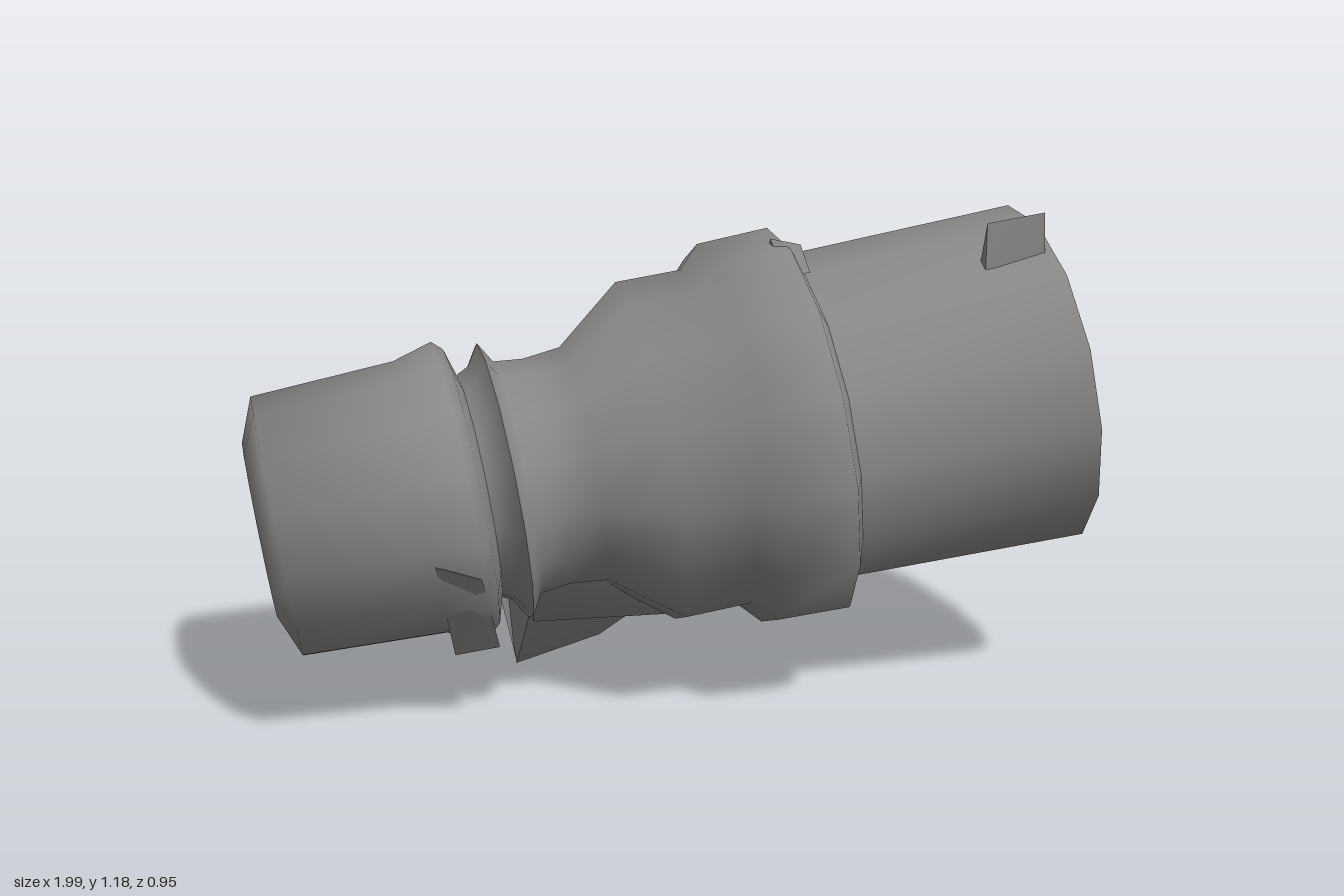
import * as THREE from 'three';
import { toCreasedNormals } from 'three/addons/utils/BufferGeometryUtils.js';
import { ConvexGeometry } from 'three/addons/geometries/ConvexGeometry.js';

const material = new THREE.MeshStandardMaterial({ color: 0x888888, side: THREE.DoubleSide });

function addMesh(parent, name, geometry) {
  const mesh = new THREE.Mesh(geometry, material);
  mesh.name = name;
  parent.add(mesh);
  return mesh;
}

// Turned part from [radius, position along the axis] pairs, softly shaded
function turned(points, sides = 14) {
  const profile = points.map(([r, t]) => new THREE.Vector2(r, t));
  return toCreasedNormals(new THREE.LatheGeometry(profile, sides), 1.25);
}

// Solid wedge around a few corner points
function wedge(points) {
  const geometry = new ConvexGeometry(points.map((p) => new THREE.Vector3(...p)));
  return toCreasedNormals(geometry, 0.9);
}

export function createModel() {
  const model = new THREE.Group();
  model.name = 'plugConnector';

  // Everything turned shares one slightly tilted axis
  const plug = new THREE.Group();
  plug.name = 'turnedParts';
  const axis = new THREE.Vector3(1, 0.148, 0.083).normalize();
  plug.quaternion.setFromUnitVectors(new THREE.Vector3(0, 1, 0), axis);
  plug.position.set(0, 0.604, -0.032);
  model.add(plug);

  // Cable gland nut with the recessed cable hole
  addMesh(plug, 'glandNut', turned([
    [0, -0.87], [0.08, -0.87], [0.09, -0.972], [0.21, -0.977], [0.312, -0.937],
    [0.33, -0.6], [0.358, -0.505], [0.335, -0.48], [0.27, -0.46],
  ]));

  // Neck, flange, shoulder and collar, up to the hollow shroud
  addMesh(plug, 'body', turned([
    [0.27, -0.46], [0.285, -0.43], [0.335, -0.4], [0.285, -0.37], [0.278, -0.3],
    [0.288, -0.21], [0.415, -0.05], [0.415, 0.11], [0.468, 0.16], [0.475, 0.335],
    [0.403, 0.365],
  ]));

  // Shroud with a thin lip and a floor that rounds into its wall
  addMesh(plug, 'shroud', turned([
    [0.403, 0.365], [0.421, 0.94], [0.402, 0.94],
    [0.38, 0.55], [0.34, 0.45], [0.2, 0.4], [0, 0.41],
  ]));

  // Tapered contact pins: offsets up and towards the front from the axis
  const pins = [[-0.01, 0.22], [-0.17, 0.035], [-0.08, -0.165], [0.15, -0.15], [0.18, 0.085]];
  pins.forEach(([up, front], i) => {
    const geometry = turned([[0.085, 0.39], [0.065, 0.5], [0.028, 0.93], [0, 0.93]], 5);
    const pin = addMesh(plug, `contactPin${i + 1}`, geometry);
    pin.position.set(-up, 0, front);
  });

  // Latch fin under the neck
  addMesh(model, 'latchFin', wedge([
    [-0.32, 0, -0.28], [-0.31, 0.03, -0.32], [-0.1, 0.05, -0.29], [-0.27, 0.05, -0.23],
    [-0.32, 0.18, -0.13], [-0.37, 0.46, -0.34],
    [0, 0.18, -0.16], [0, 0.34, -0.34],
  ]));

  // Belly that runs smoothly from the neck to the fin
  addMesh(model, 'belly', wedge([
    [-0.32, 0.17, -0.2], [-0.32, 0.18, -0.08], [-0.03, 0.15, -0.17], [0, 0.18, -0.04],
    [-0.38, 0.34, -0.28], [-0.38, 0.34, 0.1], [-0.05, 0.4, 0.1], [-0.05, 0.4, -0.28],
  ]));

  // Thin web along the back of the flange, down to the fin
  addMesh(model, 'flangeWeb', wedge([
    [-0.37, 0.66, -0.44], [-0.37, 0.42, -0.41], [-0.315, 0.03, -0.32], [-0.32, 0.01, -0.29],
    [-0.41, 0.8, -0.28], [-0.41, 0.4, -0.25],
    [-0.33, 0.74, -0.29], [-0.32, 0.6, -0.33], [-0.31, 0.35, -0.34],
  ]));

  // Keying nub near the mouth of the shroud
  addMesh(model, 'keyNub', wedge([
    [0.69, 1.16, 0.25], [0.83, 1.18, 0.26], [0.69, 1.03, 0.21],
    [0.69, 1.02, 0.25], [0.84, 1.09, 0.21], [0.84, 1.07, 0.25],
  ]));

  // Small stop on the collar
  addMesh(model, 'collarStop', wedge([
    [0.23, 1.115, 0.05], [0.28, 1.11, 0.12], [0.29, 1.05, 0.16],
    [0.23, 1.03, 0.03], [0.29, 1.03, 0.05], [0.23, 1.05, 0.16],
  ]));

  // Flat grip plate on the gland nut
  addMesh(model, 'gripPlate', wedge([
    [-0.62, 0.45, 0.24], [-0.52, 0.42, 0.27], [-0.45, 0.2, 0.12], [-0.55, 0.18, 0.09],
    [-0.61, 0.43, 0.2], [-0.52, 0.41, 0.22], [-0.48, 0.23, 0.07], [-0.55, 0.22, 0.05],
  ]));

  return model;
}
